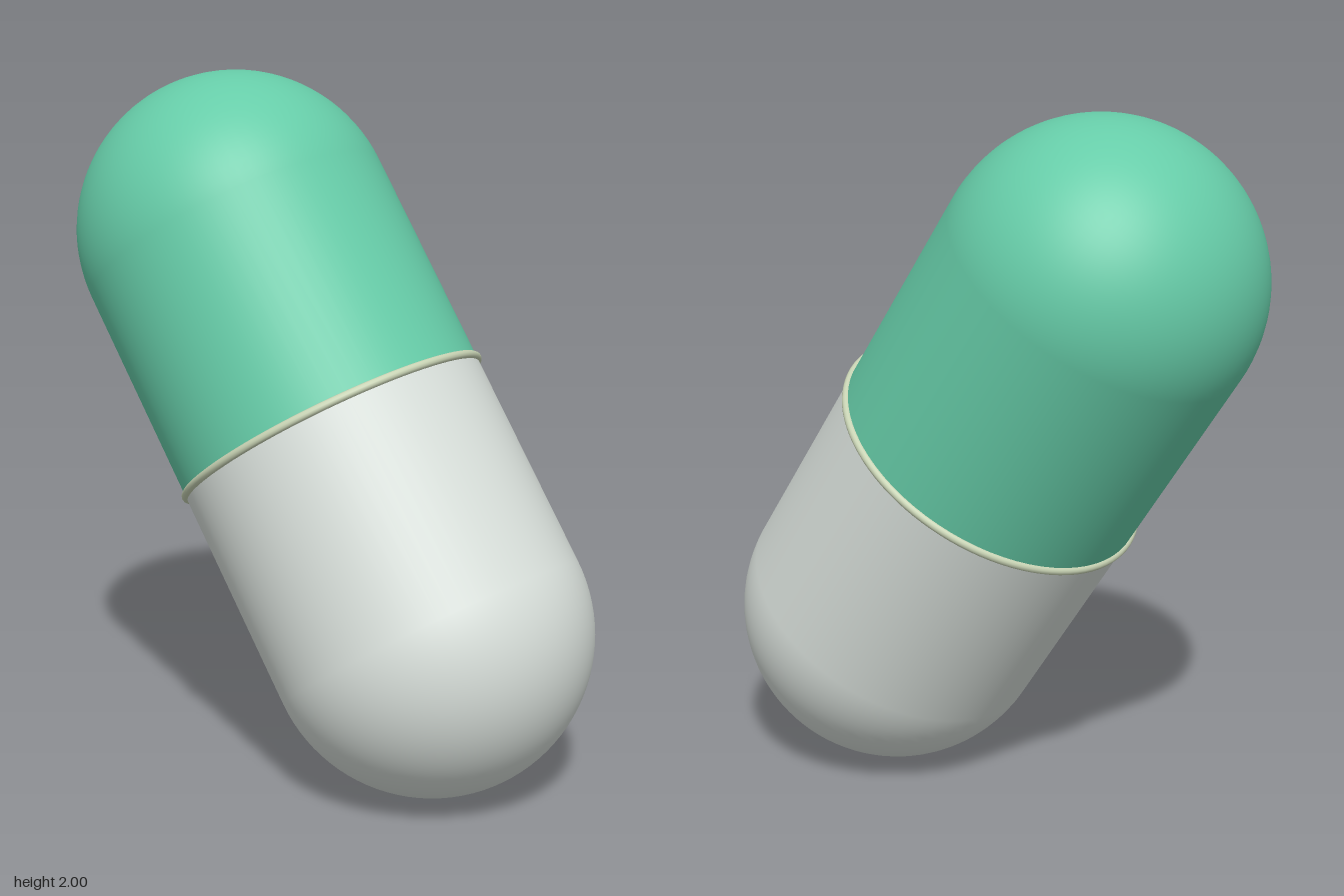
import * as THREE from 'three';

const RADIUS = 0.462;  // capsule radius
const HALF = 0.647;    // seam to centre of each domed end
const TILT = 0.59;     // lean towards -x

function paint(name, color) {
  const material = new THREE.MeshStandardMaterial({ color });
  material.name = name;
  return material;
}

// Straight wall from the seam, closed by a hemispherical dome
function shellGeometry() {
  const profile = [new THREE.Vector2(RADIUS, 0)];
  const steps = 24;
  for (let i = 0; i <= steps; i++) {
    const a = (i / steps) * Math.PI / 2;
    profile.push(new THREE.Vector2(i === steps ? 0 : RADIUS * Math.cos(a), HALF + RADIUS * Math.sin(a)));
  }
  return new THREE.LatheGeometry(profile, 72);
}

export function createModel() {
  const group = new THREE.Group();
  group.name = 'capsule';

  const add = (name, geometry, material) => {
    const mesh = new THREE.Mesh(geometry, material);
    mesh.name = name;
    group.add(mesh);
    return mesh;
  };

  // Two matching halves, the lower one turned end over end
  const shell = shellGeometry();
  add('upperHalf', shell, paint('mint green', 0x66cca8));
  add('lowerHalf', shell, paint('pale grey', 0xd8dfda)).rotation.z = Math.PI;

  // Thin bead around the seam
  const bead = new THREE.TorusGeometry(RADIUS, 0.012, 12, 96);
  add('seamRing', bead, paint('pale sage', 0xc8d3b4)).rotation.x = Math.PI / 2;

  group.position.y = 1;
  group.rotation.z = TILT;
  return group;
}
